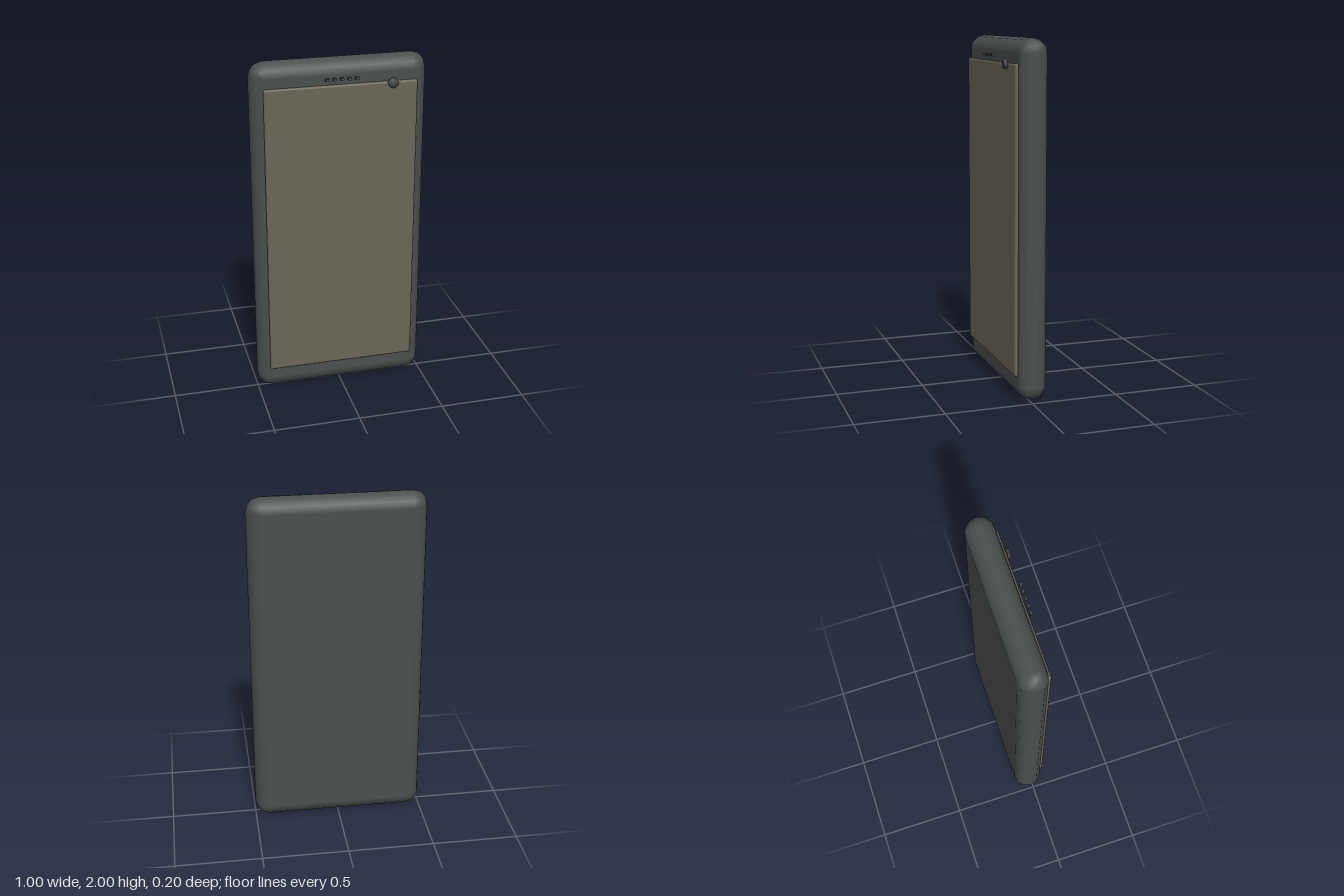
import * as THREE from 'three';
import { ParametricGeometry } from 'three/addons/geometries/ParametricGeometry.js';

const rad = THREE.MathUtils.degToRad;

// Box with evenly faceted round edges (three steps per quarter turn) and smooth normals.
function softBox(w, h, d, r) {
  const cx = w / 2 - r, cy = h / 2 - r, cz = d / 2 - r;
  const tilt = [-90, -90, -60, -30, 0, 0, 30, 60, 90, 90];
  const geo = new ParametricGeometry((u, v, p) => {
    const i = Math.round(u * 16) % 16, j = Math.round(v * 9);
    const q = Math.floor(i / 4);
    const a = rad(q * 90 + (i % 4) * 30), t = rad(tilt[j]);
    const z = (j < 5 ? -cz : cz) + r * Math.sin(t);
    // first and last rows close the flat faces
    if (j === 0 || j === 9) return p.set(0, 0, z);
    p.set((q === 0 || q === 3 ? cx : -cx) + r * Math.cos(t) * Math.cos(a),
      (q < 2 ? cy : -cy) + r * Math.cos(t) * Math.sin(a), z);
  }, 16, 9);
  // normals point away from the inner box
  const pos = geo.attributes.position, lim = new THREE.Vector3(cx, cy, cz);
  const n = new THREE.Vector3(), core = new THREE.Vector3();
  for (let k = 0; k < pos.count; k++) {
    n.fromBufferAttribute(pos, k);
    core.copy(n).clamp(lim.clone().negate(), lim);
    n.sub(core).normalize();
    geo.attributes.normal.setXYZ(k, n.x, n.y, n.z);
  }
  return geo;
}

export function createModel() {
  const group = new THREE.Group();
  const shell = new THREE.MeshStandardMaterial({ color: 0x4a4f4d });
  const glass = new THREE.MeshStandardMaterial({ color: 0x6b6558 });

  const add = (name, geo, mat, x, y, z) => {
    const mesh = new THREE.Mesh(geo, mat);
    mesh.name = name;
    mesh.position.set(x, y, z);
    group.add(mesh);
    return mesh;
  };

  // body and the raised screen on its front
  add('body', softBox(1, 2, 0.164, 0.082), shell, 0, 1, -0.018);
  add('screen', softBox(0.866, 1.724, 0.024, 0.012), glass, 0, 1.003, 0.07);

  // camera disc, shaded softly like a lens
  const lens = new THREE.CylinderGeometry(0.028, 0.028, 0.014, 16).rotateX(Math.PI / 2);
  const pos = lens.attributes.position, n = new THREE.Vector3();
  for (let k = 0; k < pos.count; k++) {
    n.fromBufferAttribute(pos, k);
    n.z *= 3;
    n.normalize();
    lens.attributes.normal.setXYZ(k, n.x, n.y, n.z);
  }
  add('camera', lens, shell, 0.288, 1.858, 0.09);

  // row of speaker studs
  for (let i = -2; i <= 2; i++) {
    add('speakerStud', new THREE.BoxGeometry(0.021, 0.015, 0.014), shell, i * 0.0415, 1.899, 0.09);
  }
  return group;
}
